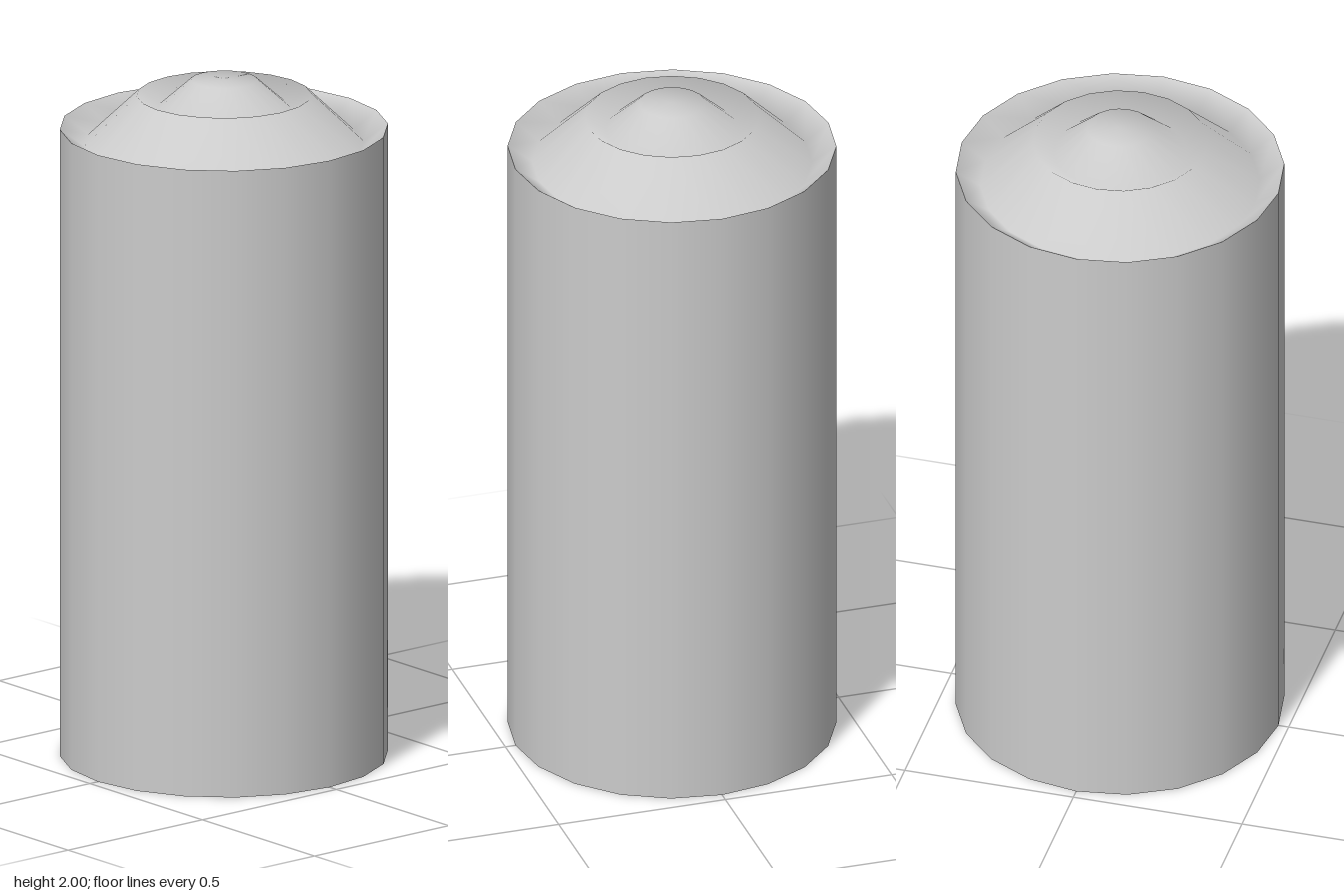
import * as THREE from 'three';

const SIDES = 20;
const RADIUS = 0.47;
const RIM = 1.86;

// Revolve a profile of [radius, height] pairs, listed so the outside faces outward
function revolve(name, profile, material) {
  const points = profile.map(([r, y]) => new THREE.Vector2(r, y));
  const mesh = new THREE.Mesh(new THREE.LatheGeometry(points, SIDES), material);
  mesh.name = name;
  return mesh;
}

export function createModel() {
  const model = new THREE.Group();
  model.name = 'canister';
  const material = new THREE.MeshStandardMaterial({ color: 0xcccccc });

  // Recessed underside, from the centre out to the foot ring
  model.add(revolve('base', [
    [0, 0.06], [0.1, 0.06], [0.19, 0.04], [0.26, 0.035],
    [0.34, 0.05], [0.4, 0], [RADIUS, 0],
  ], material));

  // Straight wall
  model.add(revolve('body', [[RADIUS, 0], [RADIUS, RIM]], material));

  // Lid: sloping groove inside the rim, stepped cone, second groove and central knob
  model.add(revolve('lid', [
    [RADIUS, RIM], [0.4, 1.81], [0.25, 1.955],
    [0.19, 1.915], [0.095, 2], [0, 2],
  ], material));

  return model;
}
